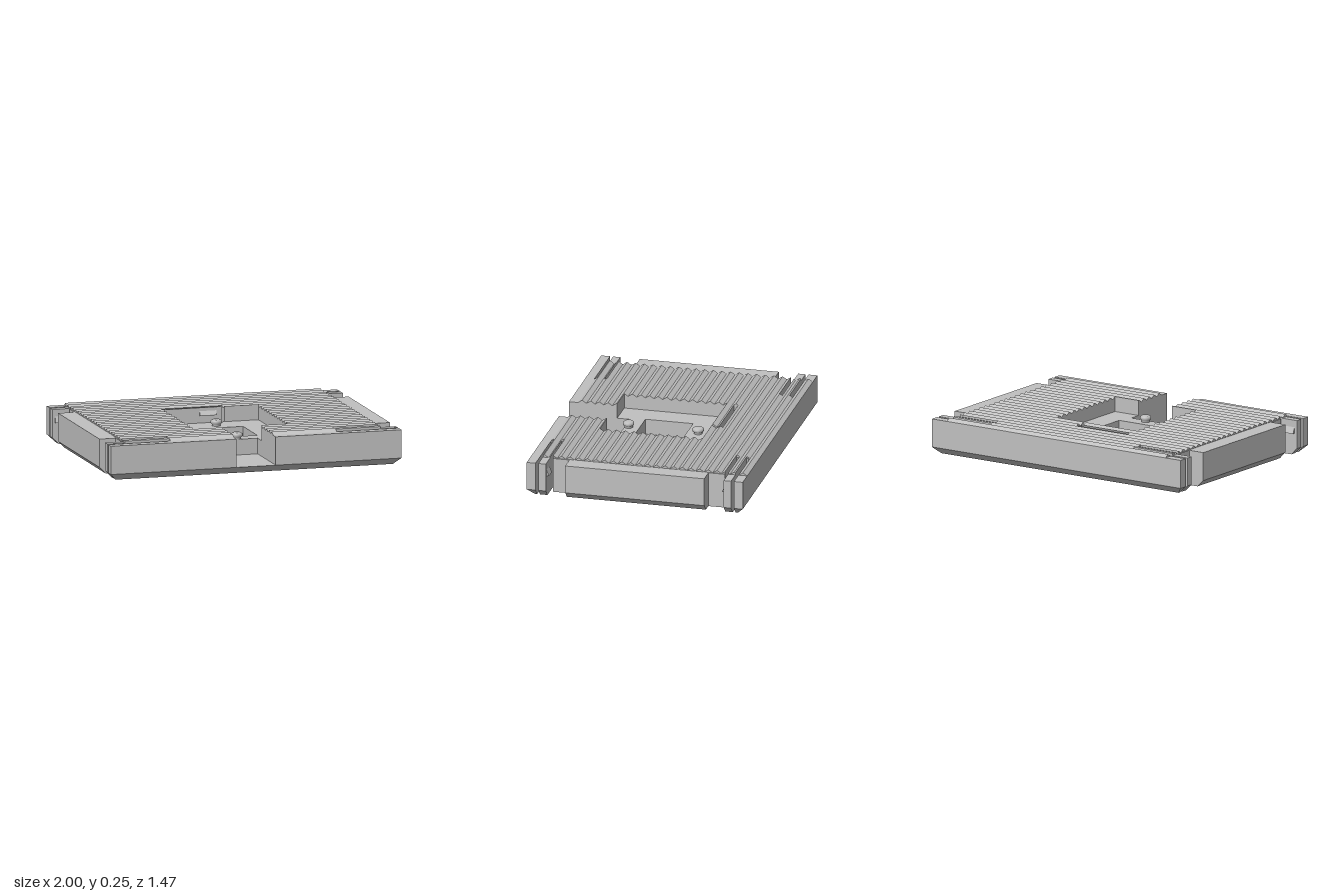
import * as THREE from 'three';

const TOP = 0.235, FLOOR = 0.15, BASE = 0.045;
const W = 1, D = 0.735;
const material = new THREE.MeshStandardMaterial({ color: 0xc0c0c0 });
material.name = 'grey plastic';

const toVectors = (pts) => pts.map(([x, z]) => new THREE.Vector2(x, z));

// Corner quadrant: side notch plus two spring slots
const corner = [
  [1, 0.473], [0.888, 0.473], [0.888, 0.585],
  [0.58, 0.585], [0.572, 0.595], [0.58, 0.605], [1, 0.605],
  [1, 0.655], [0.58, 0.655], [0.572, 0.665], [0.58, 0.675], [1, 0.675], [1, D],
];
const mirrored = (sx, sz) => corner.map(([x, z]) => [x * sx, z * sz]);

// Full outline; frontCut is an optional run of points from the front edge inwards
function outline(frontCut = []) {
  return [
    ...mirrored(1, 1), ...frontCut, ...mirrored(-1, 1).reverse(),
    ...mirrored(-1, -1), ...mirrored(1, -1).reverse(),
  ];
}

// Horizontal slab between two heights
function slab(pts, holes, y0, y1) {
  const shape = new THREE.Shape(toVectors(pts));
  shape.holes.push(...holes);
  const geo = new THREE.ExtrudeGeometry(shape, { depth: y1 - y0, bevelEnabled: false, curveSegments: 32 });
  return geo.rotateX(Math.PI / 2).translate(0, y1, 0);
}

// Prism along x from a [z, y] profile
function prism(profile, x0, x1) {
  const shape = new THREE.Shape(profile.map(([z, y]) => new THREE.Vector2(-z, y)));
  const geo = new THREE.ExtrudeGeometry(shape, { depth: x1 - x0, bevelEnabled: false });
  return geo.rotateY(Math.PI / 2).translate(x0, 0, 0);
}

// Sawtooth tread over a rectangle, all patches sharing one pitch
const PITCH = 1.41 / 24;
function tread(x0, x1, z0, z1) {
  const height = (z) => {
    const t = (z + D) / PITCH;
    return TOP + 0.019 * (1 - Math.abs(2 * (t - Math.floor(t)) - 1));
  };
  const profile = [[z0, TOP - 0.005], [z0, height(z0)]];
  for (let i = 0; i <= 48; i++) {
    const z = -D + (i * PITCH) / 2;
    if (z > z0 + 0.001 && z < z1 - 0.001) profile.push([z, TOP + (i % 2 ? 0.019 : 0)]);
  }
  profile.push([z1, height(z1 - 1e-6)], [z1, TOP - 0.005]);
  return prism(profile, x0, x1);
}

export function createModel() {
  const group = new THREE.Group();
  const add = (name, geo) => {
    const mesh = new THREE.Mesh(geo, material);
    mesh.name = name;
    group.add(mesh);
    return mesh;
  };

  // Cuts shared by the layers
  const latchSlot = [
    [0.07, -0.293], [0.07, -0.341], [-0.325, -0.341], [-0.333, -0.355],
    [-0.325, -0.368], [0.09, -0.368], [0.09, -0.293],
  ];
  const latchHole = () => new THREE.Path(toVectors(latchSlot));
  const roundHole = new THREE.Path().absarc(0, 0.06, 0.162, 0, Math.PI * 2);
  const squareHole = new THREE.Path(toVectors([
    [-0.162, -0.102], [0.162, -0.102], [0.162, 0.222], [-0.162, 0.222],
  ]));
  const channel = [[0.135, D], [0.135, 0.322], [-0.135, 0.322], [-0.135, D]];
  const pocket = [
    [0.135, D], [0.135, 0.407], [0.325, 0.407], [0.325, -0.293],
    ...[...latchSlot].reverse(),
    [-0.325, -0.293], [-0.325, 0.407], [-0.135, 0.407], [-0.135, D],
  ];

  // Bottom layer, its lower rim pulled in to form the chamfer
  const bottom = slab(outline(), [roundHole, latchHole()], 0, BASE);
  const pos = bottom.attributes.position;
  for (let i = 0; i < pos.count; i++) {
    if (pos.getY(i) > BASE / 2) continue;
    pos.setX(i, THREE.MathUtils.clamp(pos.getX(i), -W + BASE, W - BASE));
    pos.setZ(i, THREE.MathUtils.clamp(pos.getZ(i), -D + BASE, D - BASE));
  }
  bottom.computeVertexNormals();
  add('chamferedBase', bottom);

  // Middle layer with the cable channel, upper layer with the pocket
  add('middleBody', slab(outline(channel), [squareHole, latchHole()], BASE, FLOOR));
  add('upperBody', slab(outline(pocket), [], FLOOR, TOP));

  // Ridged tread around the pocket and slots
  for (const s of [-1, 1]) {
    const patches = [
      [0.325, 0.572, -D, 0.675], [0.135, 0.325, 0.407, 0.675],
      [0.572, 0.88, -D, -0.675], [0.572, 0.88, -0.655, -0.605],
      [0.572, 0.88, -0.585, 0.585], [0.572, 0.88, 0.605, 0.655],
    ];
    for (const [a, b, z0, z1] of patches) {
      add('ridgedTread', tread(Math.min(a * s, b * s), Math.max(a * s, b * s), z0, z1));
    }
  }
  add('ridgedTread', tread(-0.325, 0.325, -D, -0.368));
  add('ridgedTread', tread(-0.325, 0.07, -0.341, -0.293));
  add('ridgedTread', tread(0.09, 0.325, -0.368, -0.293));

  // Snap teeth on the four spring arms
  for (const sx of [-1, 1]) {
    for (const sz of [-1, 1]) {
      const tooth = [[0.606, 0.19], [0.588, 0.145], [0.606, 0.145]].map(([z, y]) => [z * sz, y]);
      const x = sx * 0.943;
      add('snapTooth', prism(tooth, x - 0.038, x + 0.038));
    }
  }

  // Catch on the pocket latch
  add('latchCatch', prism([[-0.294, 0.232], [-0.278, 0.205], [-0.278, 0.2], [-0.294, 0.2]], -0.08, 0.035));

  // Headed locating pegs
  const pegProfile = toVectors([
    [0.028, 0], [0.028, 0.012], [0.037, 0.018], [0.037, 0.034], [0.027, 0.042], [0, 0.042],
  ]);
  for (const z of [-0.178, 0.295]) {
    const geo = new THREE.LatheGeometry(pegProfile, 32);
    add('locatingPeg', geo).position.set(0, FLOOR, z);
  }
  return group;
}
